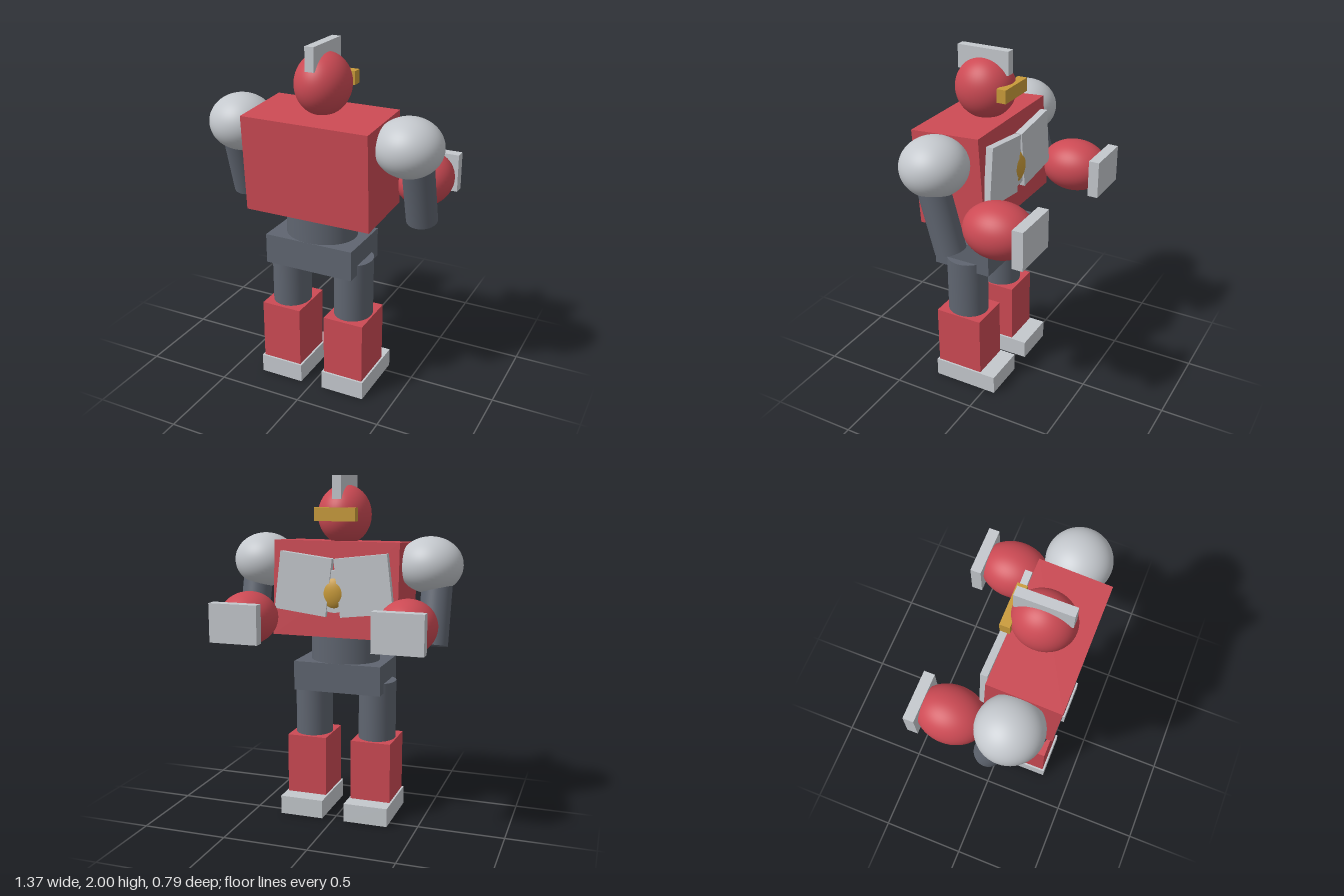
import * as THREE from 'three';

const material = (name, color) => {
  const m = new THREE.MeshStandardMaterial({ color });
  m.name = name;
  return m;
};

export function createModel() {
  const red = material('red armour', 0xcc4a54);
  const silver = material('silver', 0xc4c8cd);
  const dark = material('dark steel', 0x5f6570);
  const gold = material('gold', 0xc99b3a);

  const model = new THREE.Group();
  model.name = 'robot';

  const add = (name, geometry, mat, pos, parent = model) => {
    const mesh = new THREE.Mesh(geometry, mat);
    mesh.name = name;
    mesh.position.set(...pos);
    parent.add(mesh);
    return mesh;
  };
  const box = (w, h, d) => new THREE.BoxGeometry(w, h, d);
  const ellipsoid = (rx, ry, rz) => new THREE.SphereGeometry(1, 48, 32).scale(rx, ry, rz);
  const column = (rx, h, rz) => new THREE.CylinderGeometry(1, 1, h, 48).scale(rx, 1, rz);

  // Head with crest and visor
  add('head', ellipsoid(0.152, 0.17, 0.172), red, [0, 1.778, 0.152]);
  add('crest', box(0.052, 0.13, 0.308), silver, [0, 1.935, 0.153]);
  add('visor', box(0.24, 0.075, 0.055), gold, [0, 1.787, -0.009]);

  // Torso leans slightly
  add('torso', box(0.74, 0.544, 0.409), red, [0, 1.355, 0.175]).rotation.x = 0.06;

  // Chest emblem seated between the plates
  add('chestSocket', new THREE.CylinderGeometry(0.12, 0.12, 0.06, 40).rotateX(Math.PI / 2), silver, [0, 1.36, -0.025]);
  add('chestCore', ellipsoid(0.085, 0.1, 0.05), gold, [0, 1.35, -0.028]);

  // Waist and hips
  add('waist', column(0.205, 0.24, 0.175), dark, [0, 1.0, 0.175]);
  add('hips', box(0.525, 0.172, 0.35), dark, [0, 0.846, 0.175]);

  for (const side of [1, -1]) {
    const label = side > 0 ? 'left' : 'right';

    // Chest plate, rolled toward the middle
    add(label + 'ChestPlate', box(0.31, 0.33, 0.04), silver, [side * 0.178, 1.398, -0.047])
      .rotation.z = side * 0.12;

    // Arm
    const arm = new THREE.Group();
    arm.name = label + 'Arm';
    model.add(arm);
    add('shoulder', ellipsoid(0.185, 0.16, 0.183), silver, [side * 0.502, 1.505, 0.17], arm);
    add('upperArm', column(0.087, 0.35, 0.084), dark, [side * 0.547, 1.235, 0.106], arm)
      .rotation.x = 0.265;
    add('forearm', ellipsoid(0.162, 0.151, 0.2), red, [side * 0.463, 1.207, -0.185], arm);
    add('hand', box(0.284, 0.22, 0.062), silver, [side * 0.463, 1.205, -0.366], arm);

    // Leg
    const leg = new THREE.Group();
    leg.name = label + 'Leg';
    model.add(leg);
    add('thigh', column(0.11, 0.365, 0.12), dark, [side * 0.198, 0.634, 0.175], leg);
    add('shin', box(0.24, 0.36, 0.285), red, [side * 0.198, 0.288, 0.175], leg);
    add('foot', box(0.262, 0.11, 0.394), silver, [side * 0.198, 0.055, 0.132], leg);
  }

  return model;
}
